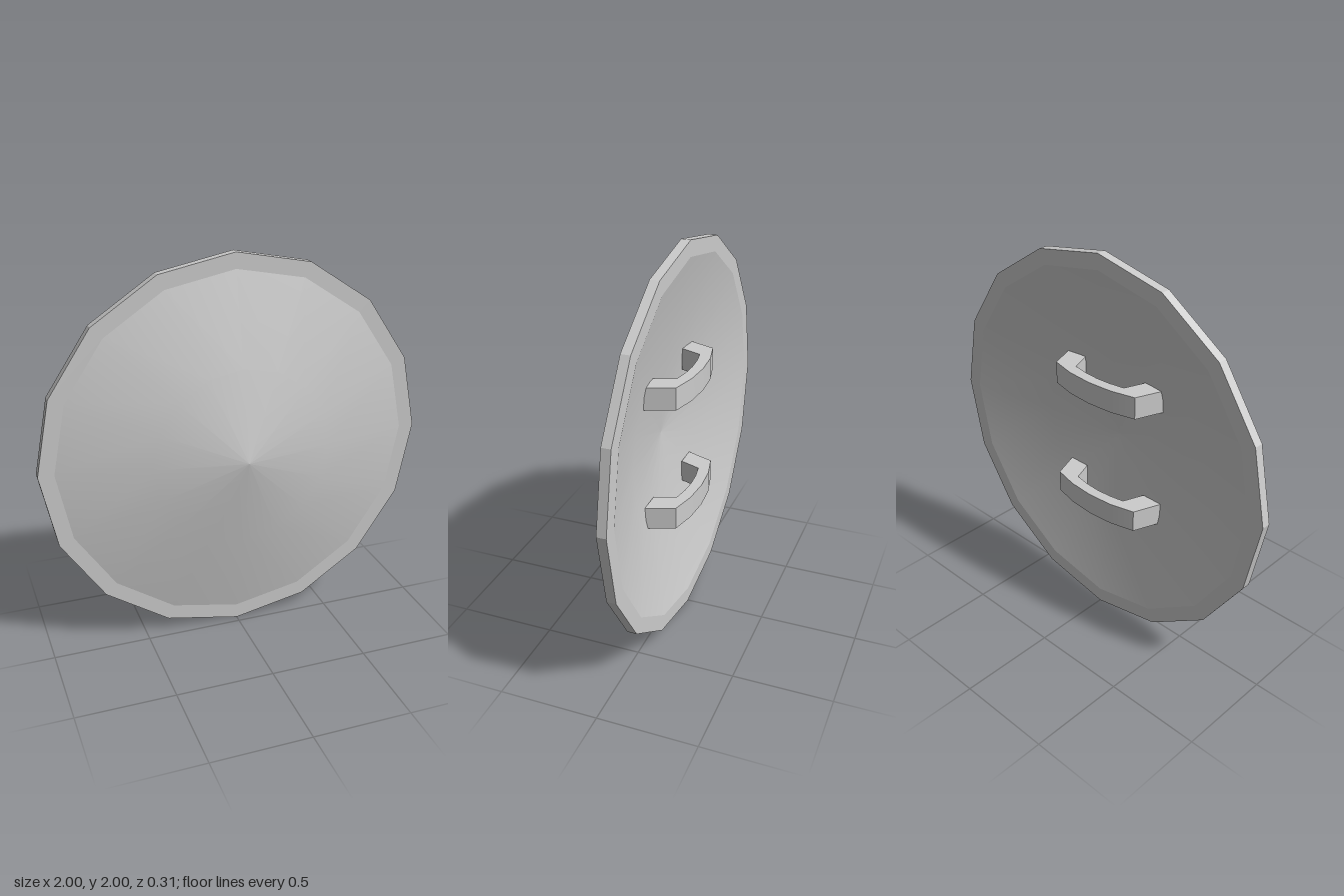
import * as THREE from 'three';
import { toCreasedNormals } from 'three/addons/utils/BufferGeometryUtils.js';

const SIDES = 16;

// Sixteen-sided turned surface whose axis points to the front; profile is [radius, z]
function turned(name, profile, material) {
  const points = profile.map(([r, z]) => new THREE.Vector2(r, z));
  const geometry = new THREE.LatheGeometry(points, SIDES).rotateX(Math.PI / 2);
  const mesh = new THREE.Mesh(geometry, material);
  mesh.name = name;
  mesh.position.y = 1;
  return mesh;
}

// Arched grip: half outline as [x, distance behind centre], mirrored and extruded upwards
function handleGeometry(height) {
  const outer = [[0.315, -0.03], [0.262, 0.112], [0.135, 0.143]];
  const inner = [[0.08, 0.092], [0.16, 0.078], [0.2, -0.03]];
  const mirror = (list) => list.map(([x, d]) => [-x, d]).reverse();
  const outline = [
    ...outer, [0, 0.153], ...mirror(outer),
    ...mirror(inner), [0, 0.097], ...inner,
  ];
  const shape = new THREE.Shape(outline.map(([x, d]) => new THREE.Vector2(x, d)));
  const geometry = new THREE.ExtrudeGeometry(shape, { depth: height, bevelEnabled: false });
  geometry.rotateX(-Math.PI / 2);
  return toCreasedNormals(geometry, Math.PI / 6);
}

export function createModel() {
  const group = new THREE.Group();
  group.name = 'roundShield';
  const smooth = new THREE.MeshStandardMaterial({ color: 0xcccccc });
  const faceted = new THREE.MeshStandardMaterial({ color: 0xcccccc, flatShading: true });

  // Domed front, hollow back and the flat band around them
  group.add(
    turned('frontDome', [[0.92, -0.037], [0.46, 0.068], [0, 0.152]], smooth),
    turned('hollowBack', [[0, 0.068], [0.46, 0.025], [0.92, -0.084]], smooth),
    turned('rim', [[0.92, -0.084], [1, -0.084], [1, -0.037], [0.92, -0.037]], faceted),
  );

  // Two grips on the back
  const grip = handleGeometry(0.115);
  for (const [name, y] of [['upperHandle', 1.265], ['lowerHandle', 0.622]]) {
    const handle = new THREE.Mesh(grip, smooth);
    handle.name = name;
    handle.position.y = y;
    group.add(handle);
  }
  return group;
}
